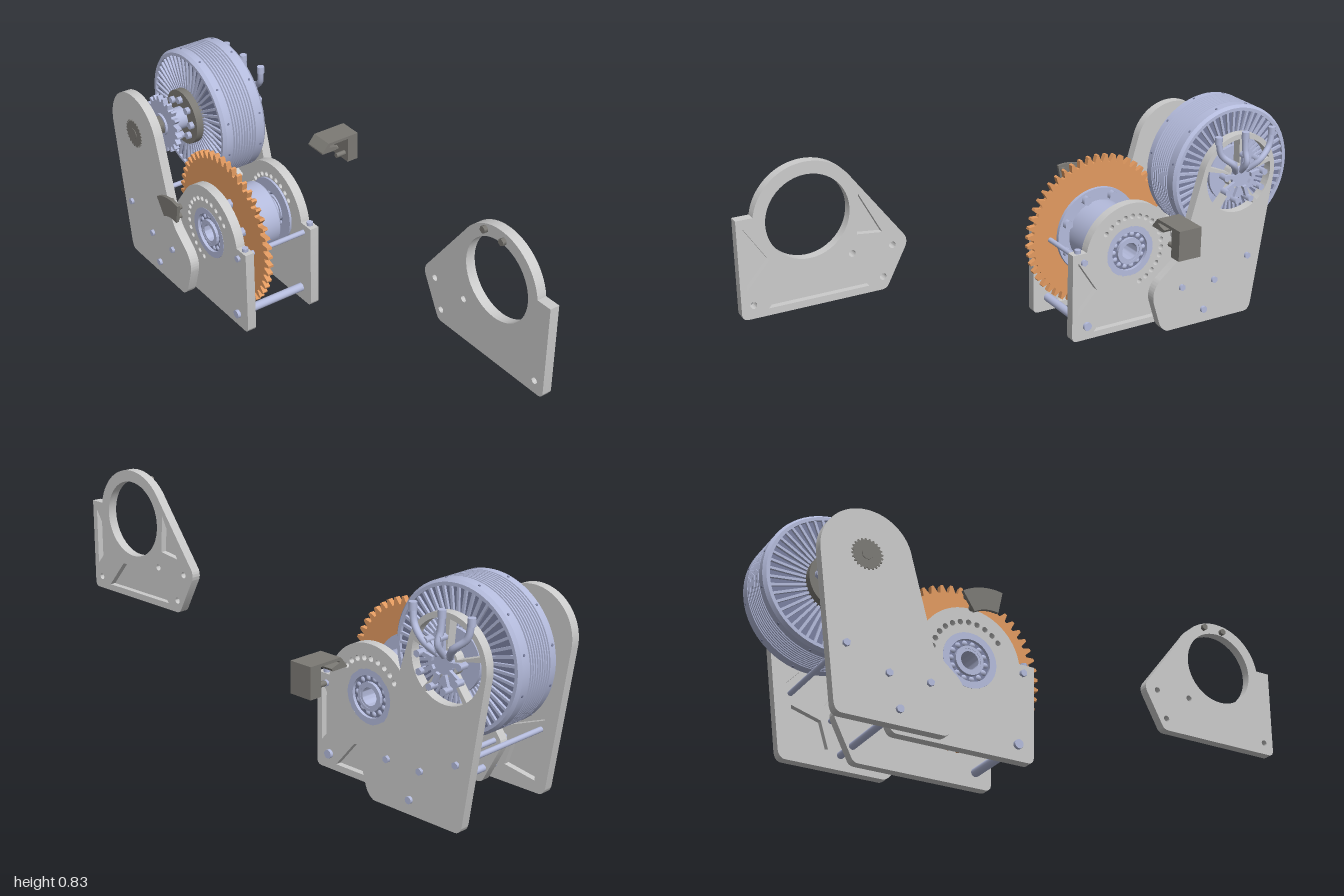
import * as THREE from 'three';
import { toCreasedNormals } from 'three/addons/utils/BufferGeometryUtils.js';

const mat = (color) => new THREE.MeshStandardMaterial({ color });
const grey = mat(0xcccccc), blue = mat(0xb4bbdc), slate = mat(0x7a80a0);
const orange = mat(0xe29a60), dark = mat(0x7c7a75);
const MOTOR = [-0.763, 0.523], DRUM = [-0.384, 0.291];
const TAU = Math.PI * 2;

function add(parent, name, geo, material, x = 0, y = 0, z = 0) {
  const m = new THREE.Mesh(geo, material);
  m.name = name;
  m.position.set(x, y, z);
  parent.add(m);
  return m;
}

// Turned part along z from [radius, z] points, listed in rising z on the outside
function turned(points, segments = 48) {
  const g = new THREE.LatheGeometry(points.map(([r, z]) => new THREE.Vector2(r, z)), segments);
  return toCreasedNormals(g.rotateX(Math.PI / 2), 0.5);
}
const ring = (inner, outer, z0, z1) =>
  turned([[inner, z0], [outer, z0], [outer, z1], [inner, z1], [inner, z0]]);

// Cylinder along z between two depths
function rod(r, z0, z1, sides = 24) {
  const g = new THREE.CylinderGeometry(r, r, Math.abs(z1 - z0), sides).rotateX(Math.PI / 2);
  return g.translate(0, 0, (z0 + z1) / 2);
}

function extrude(shape, z0, z1) {
  const g = new THREE.ExtrudeGeometry(shape, { depth: z1 - z0, bevelEnabled: false, curveSegments: 24 });
  return toCreasedNormals(g.translate(0, 0, z0), 0.5);
}

const polygon = (pts) => new THREE.Shape(pts.map(([x, y]) => new THREE.Vector2(x, y)));
const circle = (x, y, r) => new THREE.Shape().absarc(x, y, r, 0, TAU, false);
function sector(x, y, r0, r1, a0, a1) {
  const s = new THREE.Shape();
  s.absarc(x, y, r1, a0, a1, false);
  s.absarc(x, y, r0, a1, a0, true);
  s.closePath();
  return s;
}

// Machined plate: a thin skin with a ribbed, pocketed layer on one face
function plate(parent, name, outline, holes, pockets, z0, z1, skinInFront) {
  const g = new THREE.Group();
  g.name = name;
  parent.add(g);
  const skin = outline(), ribs = outline();
  skin.holes.push(...holes);
  ribs.holes.push(...holes, ...pockets.map(polygon));
  const zm = skinInFront ? z1 - 0.012 : z0 + 0.012;
  const [s0, s1, r0, r1] = skinInFront ? [zm, z1, z0, zm] : [z0, zm, zm, z1];
  add(g, 'plateSkin', extrude(skin, s0, s1), grey);
  add(g, 'plateRibs', extrude(ribs, r0, r1), grey);
  return g;
}

// Tall motor plate outline
function tallOutline() {
  const s = new THREE.Shape();
  s.moveTo(-0.815, 0);
  s.lineTo(-0.49, 0);
  s.quadraticCurveTo(-0.465, 0.01, -0.455, 0.04);
  s.lineTo(-0.43, 0.12);
  s.quadraticCurveTo(-0.42, 0.165, -0.455, 0.2);
  s.lineTo(-0.515, 0.25);
  s.quadraticCurveTo(-0.535, 0.27, -0.542, 0.3);
  s.absarc(MOTOR[0], MOTOR[1], 0.15, 0.24, Math.PI + 0.12, false);
  s.lineTo(-0.843, 0.03);
  s.quadraticCurveTo(-0.838, 0, -0.815, 0);
  return s;
}

// Low bearing plate outline, centred on its bore
function lowOutline() {
  const s = new THREE.Shape();
  s.moveTo(-0.23, -0.293);
  s.lineTo(0.205, -0.293);
  s.quadraticCurveTo(0.226, -0.293, 0.226, -0.27);
  s.lineTo(0.226, 0.03);
  s.lineTo(0.172, 0.03);
  s.absarc(0, 0, 0.175, 0.2, 2.55, false);
  s.lineTo(-0.315, -0.125);
  s.quadraticCurveTo(-0.325, -0.145, -0.315, -0.165);
  s.lineTo(-0.255, -0.28);
  s.quadraticCurveTo(-0.248, -0.293, -0.23, -0.293);
  return s;
}
const tallPockets = [
  [[-0.83, 0.25], [-0.75, 0.34], [-0.62, 0.34], [-0.7, 0.2]],
  [[-0.81, 0.18], [-0.71, 0.15], [-0.68, 0.06], [-0.8, 0.04]],
  [[-0.65, 0.2], [-0.58, 0.33], [-0.56, 0.2]],
  [[-0.645, 0.14], [-0.57, 0.14], [-0.6, 0.06]],
  [[-0.52, 0.04], [-0.47, 0.1], [-0.53, 0.13], [-0.56, 0.06]],
];
const lowPockets = [
  [[0.205, 0], [0.205, -0.2], [0.13, -0.115]],
  [[-0.19, -0.27], [0.14, -0.27], [0.06, -0.175], [-0.09, -0.165]],
  [[-0.24, -0.1], [-0.165, 0.04], [-0.155, -0.09]],
];
const lowHoles = [[-0.272, -0.15], [-0.137, -0.15], [-0.237, -0.25], [0.188, -0.25]];

function toothedWheel(teeth, root, tip, bore) {
  const pts = [];
  for (let i = 0; i < teeth; i++)
    for (const [f, r] of [[0, root], [0.25, root], [0.5, tip], [0.75, tip]]) {
      const a = (i + f) / teeth * TAU;
      pts.push([r * Math.cos(a), r * Math.sin(a)]);
    }
  const s = polygon(pts);
  s.holes.push(circle(0, 0, bore));
  return s;
}

function boltCircle(parent, name, n, radius, r, z0, z1, material = blue, offset = 0) {
  for (let i = 0; i < n; i++) {
    const a = i / n * TAU + offset;
    add(parent, name, rod(r, z0, z1, 6), material, radius * Math.cos(a), radius * Math.sin(a));
  }
}

function tieRod(parent, x, y, r, z0, z1) {
  add(parent, 'tieRod', rod(r, z0, z1, 16), blue, x, y);
  for (const z of [z0, z1 - 0.01]) add(parent, 'tieRodHead', rod(0.012, z, z + 0.01, 6), blue, x, y);
}

function motor() {
  const g = new THREE.Group();
  g.name = 'motor';
  g.position.set(...MOTOR, 0);
  // Grooved outer shell
  const p = [[0.1, -0.088], [0.217, -0.088], [0.217, -0.1], [0.228, -0.1], [0.237, -0.09], [0.237, -0.056]];
  for (let i = 0; i < 9; i++) {
    const z = -0.054 + i * 0.011;
    p.push([0.231, z], [0.231, z + 0.003], [0.237, z + 0.004], [0.237, z + 0.009]);
  }
  p.push([0.237, 0.064], [0.228, 0.075], [0.217, 0.075], [0.217, 0.063], [0.1, 0.063]);
  add(g, 'motorShell', turned(p, 72), blue);
  // Radial fins and vents on both faces
  for (const [z, zd] of [[0.068, 0.064], [-0.093, -0.089]]) {
    add(g, 'ventRecess', ring(0.1, 0.217, zd - 0.001, zd + 0.001), slate);
    for (let i = 0; i < 48; i++) {
      const a = i / 48 * TAU;
      const fin = add(g, 'fin', new THREE.BoxGeometry(0.125, 0.0085, 0.011), blue,
        0.16 * Math.cos(a), 0.16 * Math.sin(a), z);
      fin.rotation.z = a;
    }
  }
  for (const z of [0.052, -0.078]) for (let i = 0; i < 12; i++) {
    const a = (i + 0.5) / 12 * TAU;
    const s = add(g, 'shellScrew', new THREE.CylinderGeometry(0.004, 0.004, 0.004, 8), slate,
      0.237 * Math.cos(a), 0.237 * Math.sin(a), z);
    s.rotation.z = a - Math.PI / 2;
  }
  // Hub, shaft and drive sprocket
  add(g, 'frontFlange', rod(0.1, 0.06, 0.1, 40), dark);
  add(g, 'rearFlange', rod(0.1, -0.11, -0.08, 40), blue);
  boltCircle(g, 'flangeBolt', 8, 0.07, 0.014, 0.1, 0.115);
  add(g, 'hub', rod(0.04, 0.1, 0.19, 32), blue);
  add(g, 'smallSprocket', extrude(toothedWheel(20, 0.086, 0.104, 0.035), 0.163, 0.182), blue);
  add(g, 'shaftNut', rod(0.036, 0.19, 0.21, 6), dark);
  const thread = [[0, 0.21]];
  for (let i = 0; i < 8; i++) thread.push([0.023, 0.21 + i * 0.0065], [0.019, 0.2133 + i * 0.0065]);
  thread.push([0.018, 0.262], [0.018, 0.298], [0, 0.298]);
  add(g, 'threadedShaft', turned(thread, 24), dark);
  add(g, 'splineInsert', extrude(toothedWheel(24, 0.046, 0.052, 0.017), 0.262, 0.296), dark);
  // Rear terminals and cables
  add(g, 'terminalHub', rod(0.036, -0.155, -0.1, 24), blue);
  for (let i = 0; i < 9; i++) {
    const a = i / 9 * TAU + 0.2;
    const lug = add(g, 'terminalLug', new THREE.BoxGeometry(0.045, 0.014, 0.012), blue,
      0.057 * Math.cos(a), 0.057 * Math.sin(a), -0.16);
    lug.rotation.z = a;
    add(g, 'terminalBolt', rod(0.012, -0.182, -0.15, 6), blue, 0.08 * Math.cos(a), 0.08 * Math.sin(a));
  }
  for (const x of [-0.11, 0, 0.11]) {
    const path = new THREE.CatmullRomCurve3([[0.2 * x, 0.02, -0.15], [0.5 * x, 0.06, -0.18],
      [0.9 * x, 0.1, -0.17], [x, 0.15, -0.166]].map((v) => new THREE.Vector3(...v)));
    add(g, 'cable', new THREE.TubeGeometry(path, 20, 0.011, 10), blue);
    add(g, 'cableEnd', new THREE.CylinderGeometry(0.013, 0.013, 0.025, 12), blue, x, 0.152, -0.166);
  }
  return g;
}

function drum() {
  const g = new THREE.Group();
  g.name = 'drum';
  g.position.set(...DRUM, 0);
  // Hollow stepped drum with flange
  add(g, 'drumBody', turned([[0.03, -0.055], [0.04, -0.055], [0.04, -0.018], [0.05, -0.018], [0.05, 0],
    [0.065, 0], [0.065, 0.02], [0.112, 0.02], [0.116, 0.025], [0.116, 0.15], [0.16, 0.15], [0.16, 0.163],
    [0.04, 0.163], [0.04, 0.24], [0.03, 0.24], [0.03, -0.055]]), blue);
  add(g, 'largeSprocket', extrude(toothedWheel(50, 0.25, 0.275, 0.1), 0.163, 0.182), orange);
  boltCircle(g, 'sprocketBolt', 8, 0.137, 0.017, 0.132, 0.2, blue, 0.39);
  // Ball bearings in the two low plates
  for (const z of [0.207, -0.057]) {
    add(g, 'bearingOuterRace', ring(0.07, 0.092, z, z + 0.034), blue);
    add(g, 'bearingInnerRace', ring(0.038, 0.048, z, z + 0.034), blue);
    add(g, 'bearingCage', ring(0.046, 0.072, z + 0.011, z + 0.023), slate);
    for (let i = 0; i < 14; i++) {
      const a = i / 14 * TAU;
      add(g, 'bearingBall', new THREE.SphereGeometry(0.0115, 12, 8), blue,
        0.059 * Math.cos(a), 0.059 * Math.sin(a), z + 0.017);
    }
  }
  for (const [a, b] of [[0.2, 0.207], [-0.024, -0.016]])
    add(g, 'bearingRetainer', ring(0.07, 0.115, a, b), blue);
  return g;
}

export function createModel() {
  const root = new THREE.Group();
  root.name = 'winchDrive';
  root.add(motor(), drum());

  // Tall plates; the rear one has ventilation windows
  plate(root, 'frontMotorPlate', tallOutline, [circle(...MOTOR, 0.045)], tallPockets, 0.261, 0.294, true);
  const windows = [0, 1, 2, 3, 4].map((i) =>
    sector(...MOTOR, 0.045, 0.132, i * TAU / 5 + 0.4, (i + 1) * TAU / 5 + 0.28));
  plate(root, 'rearMotorPlate', tallOutline, windows, tallPockets, -0.142, -0.11, false);

  // Low plates around the drum bearings, with a ring of indexing holes
  for (const [name, z] of [['frontBearingPlate', 0.207], ['rearBearingPlate', -0.057]]) {
    const holes = [circle(0, 0, 0.09)];
    for (let i = 0; i < 17; i++) {
      const a = 0.7 + i * 0.23;
      holes.push(circle(0.127 * Math.cos(a), 0.127 * Math.sin(a), 0.0095));
    }
    const g = plate(root, name, lowOutline, holes, lowPockets, z, z + 0.033, true);
    g.position.set(...DRUM, 0);
    add(g, 'tabBolt', new THREE.CylinderGeometry(0.012, 0.012, 0.012, 6), blue, 0.199, 0.036, z + 0.016);
  }

  // Separate open plate
  const spare = plate(root, 'separatePlate', lowOutline,
    [circle(0, 0, 0.135), ...lowHoles.map(([x, y]) => circle(x, y, 0.011))], lowPockets, -0.057, -0.024, true);
  spare.position.set(0.77, 0.653, 0);
  for (const x of [-0.06, 0.02]) add(spare, 'plateBolt', rod(0.012, -0.03, -0.011, 6), dark, x, 0.147);

  // Tie rods between the plates
  for (const [x, y] of [[-0.638, 0.05], [-0.677, 0.155], [-0.543, 0.155], [-0.815, 0.217]])
    tieRod(root, x, y, y < 0.1 ? 0.012 : 0.009, -0.152, 0.304);
  tieRod(root, -0.215, 0.05, 0.015, -0.068, 0.251);
  tieRod(root, -0.199, 0.29, 0.009, -0.068, 0.251);

  // Curved clamp segment in front
  const clamp = new THREE.Group();
  clamp.name = 'clampSegment';
  clamp.position.set(...DRUM, 0);
  add(clamp, 'clampBase', extrude(sector(0, 0, 0.108, 0.18, 1.38, 2.16), 0.366, 0.377), dark);
  for (const r of [0.125, 0.162]) for (const a of [1.47, 1.77, 2.07])
    add(clamp, 'clampPin', rod(0.0095, 0.353, 0.368, 12), dark, r * Math.cos(a), r * Math.sin(a));
  root.add(clamp);

  // Hooked bracket behind, profile in [z, y]
  const profile = polygon([[-0.222, 0.453], [-0.248, 0.484], [-0.375, 0.484], [-0.375, 0.38], [-0.332, 0.38],
    [-0.332, 0.474], [-0.255, 0.474], [-0.252, 0.468], [-0.288, 0.457], [-0.282, 0.448], [-0.222, 0.448]]);
  const bracket = extrude(profile, -0.0425, 0.0425).rotateY(-Math.PI / 2);
  add(root, 'rearBracket', bracket, dark, -0.4025);
  for (const x of [-0.425, -0.38]) add(root, 'bracketBolt', rod(0.009, -0.335, -0.295, 12), dark, x, 0.409);
  return root;
}
